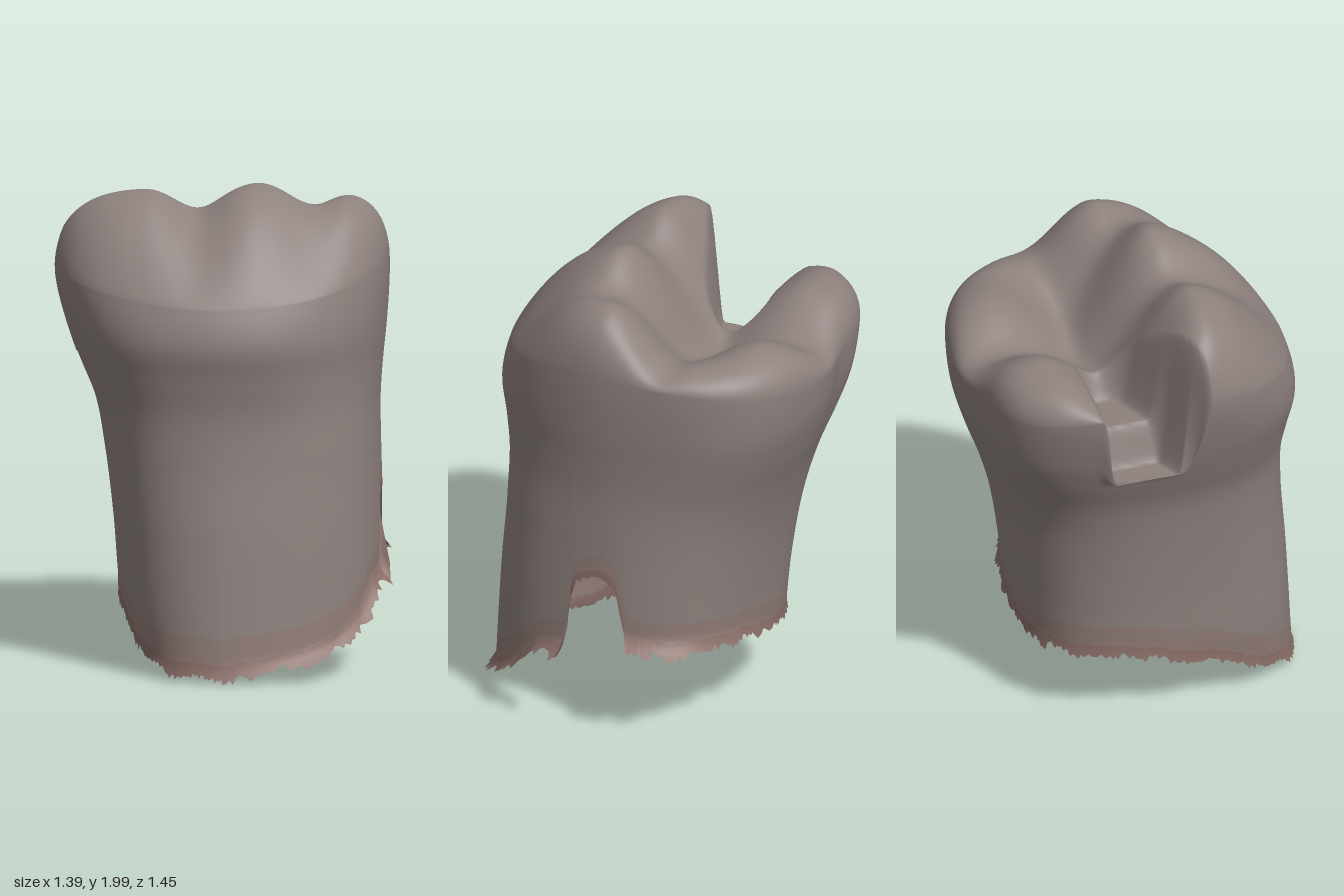
import * as THREE from 'three';

const COLS = 300, WALL = 70, CAP = 75;

// Wall extents by height: y, x min, x max, z min, z max
const SECTIONS = [
  [0.0, -0.38, 0.635, -0.44, 0.70],
  [0.3, -0.43, 0.65, -0.47, 0.68],
  [0.6, -0.455, 0.65, -0.50, 0.66],
  [0.9, -0.492, 0.642, -0.553, 0.634],
  [1.1, -0.53, 0.64, -0.612, 0.632],
  [1.25, -0.59, 0.65, -0.668, 0.655],
  [1.4, -0.647, 0.665, -0.712, 0.68],
  [1.6, -0.702, 0.677, -0.73, 0.625],
  [1.75, -0.712, 0.675, -0.72, 0.55],
];
const extents = new THREE.CubicInterpolant(
  SECTIONS.map((s) => s[0]), SECTIONS.flatMap((s) => s.slice(1)), 4);

// Torn lower edge: angle in degrees (0 = +x, 90 = +z) and height
const EDGE = [[0, 0.74], [6, 0.73], [11, 0.71], [13, 0.66], [14, 0.45], [15.5, 0.37], [27, 0.33],
  [36, 0.22], [48, 0.13], [62, 0.08], [90, 0.03], [120, 0.04], [138, 0.08], [155, 0.2], [180, 0.3],
  [205, 0.34], [240, 0.33], [270, 0.34], [295, 0.4], [320, 0.43], [348, 0.44], [350, 0.52],
  [352, 0.62], [355, 0.71], [360, 0.74]];

// Cusps: x, z, height
const CUSPS = [[-0.33, 0.19, 1.985], [0.13, 0.18, 2.01], [0.55, 0.05, 1.945],
  [-0.34, -0.51, 1.77], [0.25, -0.54, 1.74], [0.55, -0.38, 1.725]];
const FLOOR = 1.35;

const smooth = THREE.MathUtils.smoothstep, lerp = THREE.MathUtils.lerp;

function noise(i) {
  const s = Math.sin(i * 127.1 + 3.7) * 43758.5453;
  return (s - Math.floor(s)) * 2 - 1;
}

// Height where the wall turns into the chewing surface, higher on the x sides
function rimHeight(t) {
  return 1.55 + 0.11 * Math.cos(t) ** 2;
}

function edgeHeight(deg) {
  const k = Math.max(1, EDGE.findIndex((e) => e[0] >= deg));
  const [a, ya] = EDGE[k - 1], [b, yb] = EDGE[k];
  return lerp(ya, yb, (deg - a) / (b - a));
}

// Unit outline; each quadrant has its own squareness in the root and the crown
function outline(t, y) {
  const c = Math.cos(t), s = Math.sin(t), crown = smooth(y, 0.9, 1.4);
  const [low, high] = s > 0 ? (c > 0 ? [0.48, 0.14] : [0.42, 0.38]) : (c > 0 ? [0.3, 0.5] : [0.25, 1]);
  const n = 2 + 2 * Math.abs(c * s) * lerp(low, high, crown);
  const groove = 1 - 0.035 * crown * Math.exp(-(((t - 4.43) / 0.22) ** 2));
  const r = groove * (Math.abs(c) ** n + Math.abs(s) ** n) ** (-1 / n);
  return [c * r, s * r];
}

function wallPoint(y, t) {
  const [x0, x1, z0, z1] = extents.evaluate(y);
  const u = outline(t, y);
  return [u[0] < 0 ? -u[0] * x0 : u[0] * x1, y, u[1] < 0 ? -u[1] * z0 : u[1] * z1];
}

// Blended cusps around a central hollow; the outer slopes fall off slowly
function chewHeight(x, z) {
  let sum = 0;
  for (const [cx, cz, h] of CUSPS) {
    let dx = (x - cx) / 0.42, dz = (z - cz) / (cz < 0 ? 0.4 : 0.34);
    if (Math.abs(cx) > 0.3 && dx * cx > 0) dx *= 0.3;
    if (dz * cz > 0) dz *= 0.25;
    sum += ((h - FLOOR) * Math.exp(-dx * dx - dz * dz)) ** 4.5;
  }
  return FLOOR + sum ** (1 / 4.5);
}

// Stepped cavity cut through the -x side
function carve([x, y, z]) {
  const front = 0.04 - (x + 0.46) * 0.4 - z, back = z + 0.33, end = -0.15 - x;
  const corner = 0.12;
  const a = Math.max(0, corner - Math.min(front, back)), b = Math.max(0, corner - end);
  const m = smooth(corner - Math.hypot(a, b), 0, 0.08);
  const floor = lerp(1.28, 1.45, smooth(x, -0.49, -0.42));
  if (m === 0 || y <= floor) return [x, y, z];
  return [lerp(x, Math.max(x, -0.605), m), lerp(y, floor, m), z];
}

function createVertices() {
  const pos = [];
  // Wall, from the torn edge to the rim
  for (let j = 0; j <= WALL; j++) {
    const v = (j / WALL) ** 1.15;
    for (let i = 0; i < COLS; i++) {
      const t = (i / COLS) * Math.PI * 2;
      const bottom = edgeHeight((i / COLS) * 360);
      const rough = 0.012 * noise(i) + 0.014 * noise(Math.floor(i / 4) + 500);
      const y = Math.max(0, lerp(bottom, rimHeight(t), v) + rough * (1 - v) ** 20);
      const p = wallPoint(y, t);
      // slight outward curl along the torn edge
      const curl = bottom > 0.46 ? 0 : Math.max(0, 1 - (y - bottom) / 0.07) ** 2;
      const grow = 1 + curl * (0.015 + 0.05 * Math.max(0, Math.cos(t)));
      pos.push(...carve([p[0] * grow, y, p[2] * grow]));
    }
  }
  // Chewing surface, from the rim to the centre
  for (let j = 1; j <= CAP; j++) {
    const rho = Math.cos((j / CAP) * Math.PI / 2);
    for (let i = 0; i < COLS; i++) {
      const t = (i / COLS) * Math.PI * 2;
      const rim = rimHeight(t);
      // round shoulders at the sides and back, a straighter slope in front
      const front = smooth(Math.sin(t), 0, 0.95);
      const rise = (1 - rho ** lerp(9, 2.6, front)) ** lerp(0.5, 0.88, front);
      const p = wallPoint(rim, t);
      const x = p[0] * rho, z = p[2] * rho;
      pos.push(...carve([x, rim + (chewHeight(x, z) - rim) * rise, z]));
    }
  }
  return pos;
}

function rowIndices(from, to) {
  const index = [];
  for (let j = from; j < to; j++) {
    for (let i = 0; i < COLS; i++) {
      const n = (i + 1) % COLS;
      const a = j * COLS + i, b = j * COLS + n, c = a + COLS, d = b + COLS;
      index.push(a, c, b, b, c, d);
    }
  }
  return index;
}

export function createModel() {
  const group = new THREE.Group();
  group.name = 'tooth';

  const whole = new THREE.BufferGeometry();
  whole.setAttribute('position', new THREE.Float32BufferAttribute(createVertices(), 3));
  whole.setIndex(rowIndices(0, WALL + CAP));
  whole.computeVertexNormals();

  // The parts share points and normals, so the seams stay smooth
  const addPart = (name, from, to, color) => {
    const g = new THREE.BufferGeometry();
    g.setAttribute('position', whole.getAttribute('position'));
    g.setAttribute('normal', whole.getAttribute('normal'));
    g.setIndex(rowIndices(from, to));
    const mesh = new THREE.Mesh(g, new THREE.MeshStandardMaterial({ color, side: THREE.DoubleSide }));
    mesh.name = name;
    group.add(mesh);
  };
  addPart('tornGumEdge', 0, 4, 0x8b6f69);
  addPart('gumTransition', 4, 10, 0x8f7b75);
  addPart('crownAndNeck', 10, WALL + CAP, 0x8d817d);
  return group;
}
